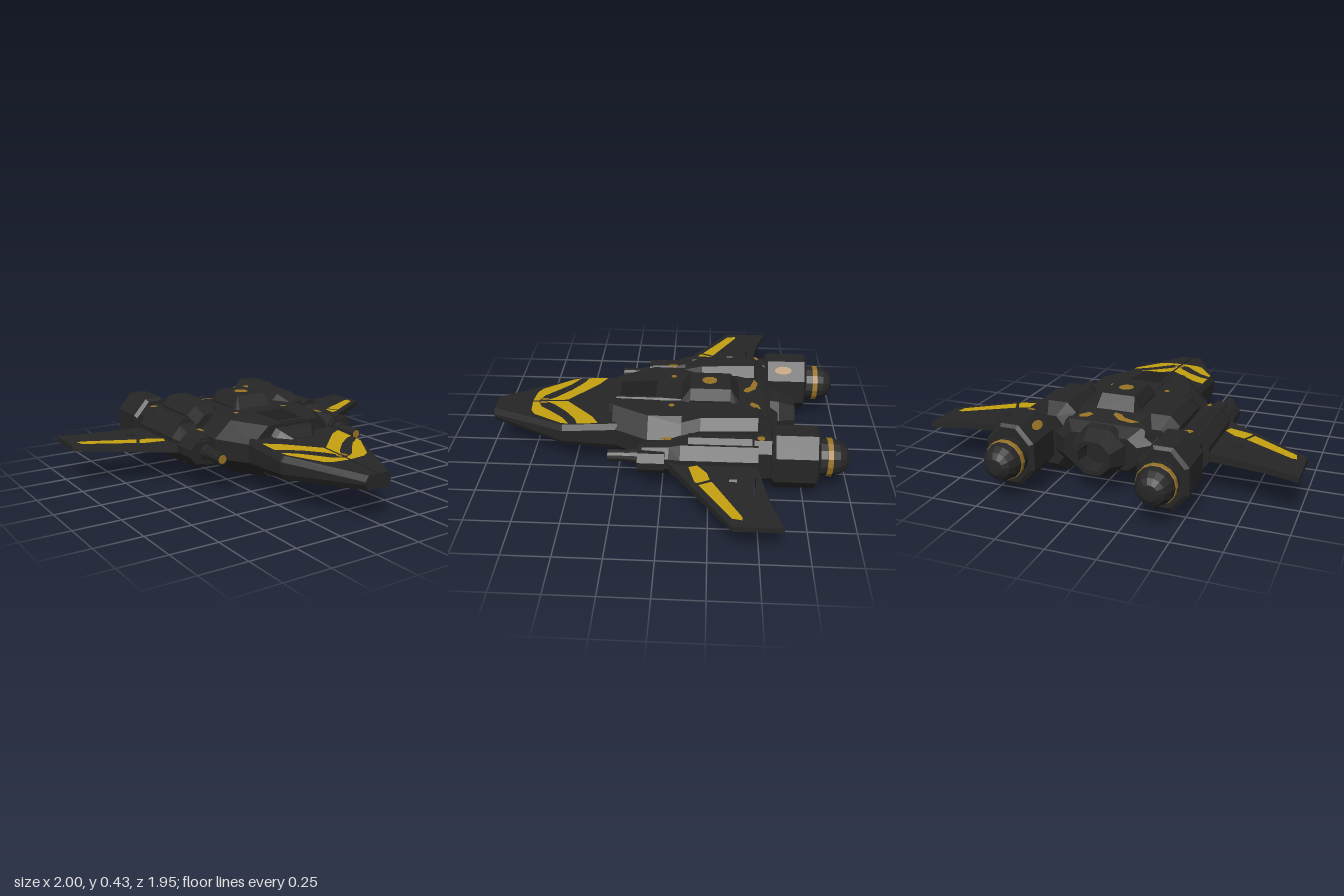
import * as THREE from 'three';

const MID = 0.215; // height of the plane the ship is mirrored about
const paint = (hex, name) => {
  const m = new THREE.MeshStandardMaterial({ color: hex });
  m.name = name;
  return m;
};

export function createModel() {
  const ship = new THREE.Group();
  ship.name = 'spaceFighter';
  const black = paint(0x262626, 'hullBlack');
  const dark = paint(0x1e1e1e, 'recessBlack');
  const yellow = paint(0xc4a010, 'markingYellow');
  const gold = paint(0x987224, 'wornGold');

  const add = (name, geo, mat = black) => {
    const flat = geo.index ? geo.toNonIndexed() : geo;
    flat.computeVertexNormals();
    const mesh = new THREE.Mesh(flat, mat);
    mesh.name = name;
    ship.add(mesh);
    return mesh;
  };

  // Chamfered-box loft along z; rows: [z, x0, x1, y0, y1, chamferX, chamferY, inner chamferX]
  function loft(rows, s = 1) {
    const rings = rows.map(([z, x0, x1, y0, y1, cx, cy, ci = cx]) => {
      const [a, b, l, r] = s > 0 ? [x0, x1, ci, cx] : [-x1, -x0, cx, ci];
      return [[a + l, y0], [b - r, y0], [b, y0 + cy], [b, y1 - cy],
        [b - r, y1], [a + l, y1], [a, y1 - cy], [a, y0 + cy]].map(p => [...p, z]);
    });
    const out = [];
    const tri = (...p) => p.forEach(v => out.push(...v));
    for (let i = 0; i + 1 < rings.length; i++) {
      for (let j = 0; j < 8; j++) {
        const k = (j + 1) % 8, A = rings[i], B = rings[i + 1];
        tri(A[j], A[k], B[k]);
        tri(A[j], B[k], B[j]);
      }
    }
    const first = rings[0], last = rings[rings.length - 1];
    for (let j = 1; j < 7; j++) {
      tri(first[0], first[j + 1], first[j]);
      tri(last[0], last[j], last[j + 1]);
    }
    const g = new THREE.BufferGeometry();
    g.setAttribute('position', new THREE.Float32BufferAttribute(out, 3));
    return g;
  }
  const centred = rows => loft(rows.map(([z, w, ...r]) => [z, -w, w, ...r]));

  // Flat marking from [x, z] points, laid on the surface y = height(x, z)
  const shapeOf = (pts, s = 1) => new THREE.Shape(pts.map(([x, z]) => new THREE.Vector2(x * s, -z)));
  function decal(name, pts, height, mat, s = 1) {
    const g = new THREE.ShapeGeometry(shapeOf(pts, s)).rotateX(-Math.PI / 2);
    const p = g.attributes.position;
    for (let i = 0; i < p.count; i++) p.setY(i, height(Math.abs(p.getX(i)), p.getZ(i)) + 0.003);
    return add(name, g, mat);
  }
  const oval = (x, z, rx, rz) => Array.from({ length: 14 }, (_, i) => {
    const t = i / 14 * Math.PI * 2;
    return [x + rx * Math.cos(t), z + rz * Math.sin(t)];
  });

  // Turned part along -z; profile: [radius, distance behind z = 0]
  const turned = (profile, sides, x, sy = 1) => new THREE.LatheGeometry(
    profile.map(([r, d]) => new THREE.Vector2(r, d)), sides, Math.PI / sides)
    .rotateX(-Math.PI / 2).scale(1, sy, 1).translate(x, MID, 0);

  // Main hull
  const hullTop = (x, z) => z > -0.4 ? 0.36 : 0.36 + (z + 0.4) * 0.02 / 0.15;
  add('hull', centred([
    [-0.62, 0.2, 0.13, 0.3, 0.05, 0.04], [-0.55, 0.3, 0.09, 0.34, 0.1, 0.07],
    [-0.4, 0.36, 0.07, 0.36, 0.1, 0.08], [0.08, 0.37, 0.07, 0.36, 0.1, 0.09],
    [0.28, 0.26, 0.075, 0.355, 0.1, 0.09]]));

  // Domed blocks in the middle, above and below
  add('centreBlock', centred([
    [-0.41, 0.135, 0.07, 0.36, 0.03, 0.05], [-0.36, 0.12, 0, 0.43, 0.03, 0.06],
    [-0.14, 0.12, 0, 0.43, 0.03, 0.06], [-0.09, 0.135, 0.07, 0.36, 0.03, 0.05]]));
  decal('topDot', oval(0, -0.245, 0.04, 0.042), () => 0.43, gold);

  // Cockpit cover and its sloping front
  add('cockpitCover', centred([
    [-0.09, 0.115, 0.2, 0.366, 0.015, 0.02], [0.02, 0.115, 0.2, 0.372, 0.015, 0.02],
    [0.27, 0.1, 0.2, 0.362, 0.015, 0.02]]));
  decal('cockpitPanel', [[-0.09, 0.05], [0.09, 0.05], [0.075, 0.25], [-0.075, 0.25]],
    (x, z) => 0.372 - (z - 0.02) * 0.04, dark);
  add('cockpitFront', centred([
    [0.26, 0.15, 0.09, 0.345, 0.03, 0.04], [0.31, 0.13, 0.11, 0.325, 0.03, 0.04],
    [0.37, 0.08, 0.14, 0.29, 0.02, 0.03]]));

  // Rear exhaust with a hollow mouth
  add('rearExhaust', turned([[0.16, 0.58], [0.15, 0.63], [0.105, 0.72], [0.08, 0.72],
    [0.065, 0.64], [0, 0.64]], 8, 0, 0.9));
  decal('rearSwoosh', [[-0.17, -0.5], [-0.13, -0.52], [-0.06, -0.505], [-0.01, -0.46],
    [-0.015, -0.435], [-0.05, -0.445], [-0.08, -0.475], [-0.13, -0.49]], hullTop, gold);
  decal('rearSpot', [[0.09, -0.48], [0.11, -0.515], [0.15, -0.525], [0.16, -0.5],
    [0.12, -0.465]], hullTop, gold);

  // Small marking on the belly
  const belly = new THREE.PlaneGeometry(0.09, 0.07).rotateX(Math.PI / 2).translate(0, 0.069, 0.2);
  add('bellyMark', belly, gold);

  const noseTop = (x, z) => 0.25 + (0.97 - z) * 0.06;
  const noseRow = (z, x0, x1) => [z, x0, x1, 0.175 - (0.97 - z) * 0.055, noseTop(0, z), 0.018, 0.03, 0.001];
  const wingHalf = x => 0.023 - Math.max(0, x - 0.5) * 0.018;

  for (const s of [1, -1]) {
    const side = s > 0 ? 'left' : 'right';

    // Half of the split nose and its stripes
    add(side + 'Nose', loft([noseRow(0.25, 0, 0.272), noseRow(0.55, 0, 0.272),
      noseRow(0.56, 0.004, 0.268), noseRow(0.97, 0.004, 0.08)], s));
    decal(side + 'NoseStripe', [[0.25, 0.355], [0.25, 0.47], [0.2, 0.49], [0.12, 0.55],
      [0.04, 0.63], [0.006, 0.68], [0.006, 0.56], [0.1, 0.47], [0.18, 0.395]], noseTop, yellow, s);
    decal(side + 'NoseChevron', [[0.25, 0.515], [0.24, 0.56], [0.14, 0.725], [0.1, 0.75],
      [0.006, 0.76], [0.006, 0.725], [0.06, 0.7], [0.12, 0.63], [0.18, 0.565]], noseTop, yellow, s);
    decal(side + 'NoseSpot', oval(0.018, 0.695, 0.012, 0.025), () => noseTop(0, 0.69) + 0.002, gold, s);

    // Shoulder block
    add(side + 'Shoulder', loft([
      [-0.57, 0.22, 0.35, 0.08, 0.35, 0.04, 0.05], [-0.5, 0.18, 0.385, 0.02, 0.405, 0.05, 0.05],
      [-0.2, 0.18, 0.385, 0.03, 0.395, 0.05, 0.05], [-0.1, 0.2, 0.38, 0.07, 0.36, 0.05, 0.05]], s));

    // Engine, domed end and yellow ring
    add(side + 'EngineNeck', loft([
      [-0.6, 0.31, 0.5, 0.09, 0.34, 0.05, 0.05], [-0.48, 0.31, 0.5, 0.09, 0.34, 0.05, 0.05]], s));
    add(side + 'Engine', loft([
      [-0.82, 0.29, 0.51, 0.07, 0.36, 0.07, 0.08], [-0.805, 0.27, 0.53, 0.05, 0.375, 0.08, 0.09],
      [-0.59, 0.27, 0.53, 0.05, 0.375, 0.08, 0.09], [-0.57, 0.285, 0.52, 0.07, 0.36, 0.08, 0.09]], s));
    add(side + 'EngineDome', turned([[0.098, 0.8], [0.098, 0.89], [0.09, 0.925], [0.07, 0.96],
      [0.04, 0.977], [0, 0.98]], 14, 0.393 * s));
    add(side + 'EngineRing', turned([[0.097, 0.86], [0.102, 0.862], [0.102, 0.888], [0.097, 0.89]],
      14, 0.393 * s), gold);
    decal(side + 'EngineMark', oval(0.312, -0.68, 0.016, 0.05),
      x => Math.min(0.375, 0.285 + (x - 0.27) * 1.125), gold, s);

    // Side pod with stepped casing, holding the wing and the gun
    add(side + 'Pod', loft([
      [-0.5, 0.34, 0.535, 0.12, 0.32, 0.05, 0.06], [-0.1, 0.34, 0.535, 0.12, 0.32, 0.05, 0.06],
      [-0.04, 0.36, 0.515, 0.14, 0.3, 0.04, 0.05], [0.1, 0.38, 0.51, 0.15, 0.29, 0.04, 0.05]], s));
    add(side + 'PodCasing', loft([
      [-0.02, 0.39, 0.54, 0.16, 0.28, 0.03, 0.04], [0.12, 0.39, 0.54, 0.16, 0.28, 0.03, 0.04]], s));
    add(side + 'PodRidge', loft([
      [-0.47, 0.38, 0.47, 0.1, 0.345, 0.025, 0.025], [-0.14, 0.38, 0.47, 0.1, 0.345, 0.025, 0.025]], s));
    decal(side + 'PodSpot', oval(0.435, -0.515, 0.022, 0.02), () => 0.341, gold, s);
    decal(side + 'PodMark', oval(0.4, -0.03, 0.012, 0.04), () => 0.3, gold, s);
    decal(side + 'HullDot', oval(0.16, -0.04, 0.015, 0.016), hullTop, gold, s);

    // Gun
    add(side + 'GunBarrel', new THREE.CylinderGeometry(0.031, 0.031, 0.18, 12)
      .rotateX(Math.PI / 2).translate(0.445 * s, 0.22, 0.19));
    add(side + 'GunCollar', new THREE.CylinderGeometry(0.037, 0.042, 0.05, 12)
      .rotateX(Math.PI / 2).translate(0.445 * s, 0.22, 0.135));
    add(side + 'GunMuzzle', new THREE.CircleGeometry(0.024, 12).translate(0.445 * s, 0.22, 0.282), gold);

    // Wing: slotted plate that thins toward its tip
    const outline = shapeOf([[0.45, -0.49], [0.56, -0.5], [0.83, -0.55], [1, -0.605], [1, -0.36],
      [0.53, -0.045], [0.45, -0.045]], s);
    outline.holes.push(shapeOf([[0.63, -0.486], [0.77, -0.478], [0.77, -0.472], [0.63, -0.48]], s));
    const wing = new THREE.ExtrudeGeometry(outline, { depth: 1, bevelEnabled: false }).rotateX(-Math.PI / 2);
    const p = wing.attributes.position;
    for (let i = 0; i < p.count; i++) {
      p.setY(i, MID - 0.003 + (p.getY(i) - 0.5) * 2 * wingHalf(Math.abs(p.getX(i))));
    }
    add(side + 'Wing', wing);
    const wingTop = x => MID - 0.003 + wingHalf(x);
    decal(side + 'WingStripe', [[0.93, -0.41], [0.955, -0.41], [0.945, -0.36], [0.7, -0.2],
      [0.67, -0.265]], wingTop, yellow, s);
    decal(side + 'WingPatch', [[0.655, -0.255], [0.685, -0.195], [0.68, -0.18], [0.555, -0.145],
      [0.54, -0.19], [0.6, -0.24]], wingTop, yellow, s);
    add(side + 'WingStud', loft([
      [-0.39, 0.635, 0.67, 0.178, 0.246, 0.008, 0.01], [-0.35, 0.635, 0.67, 0.178, 0.246, 0.008, 0.01]], s));
  }
  return ship;
}
